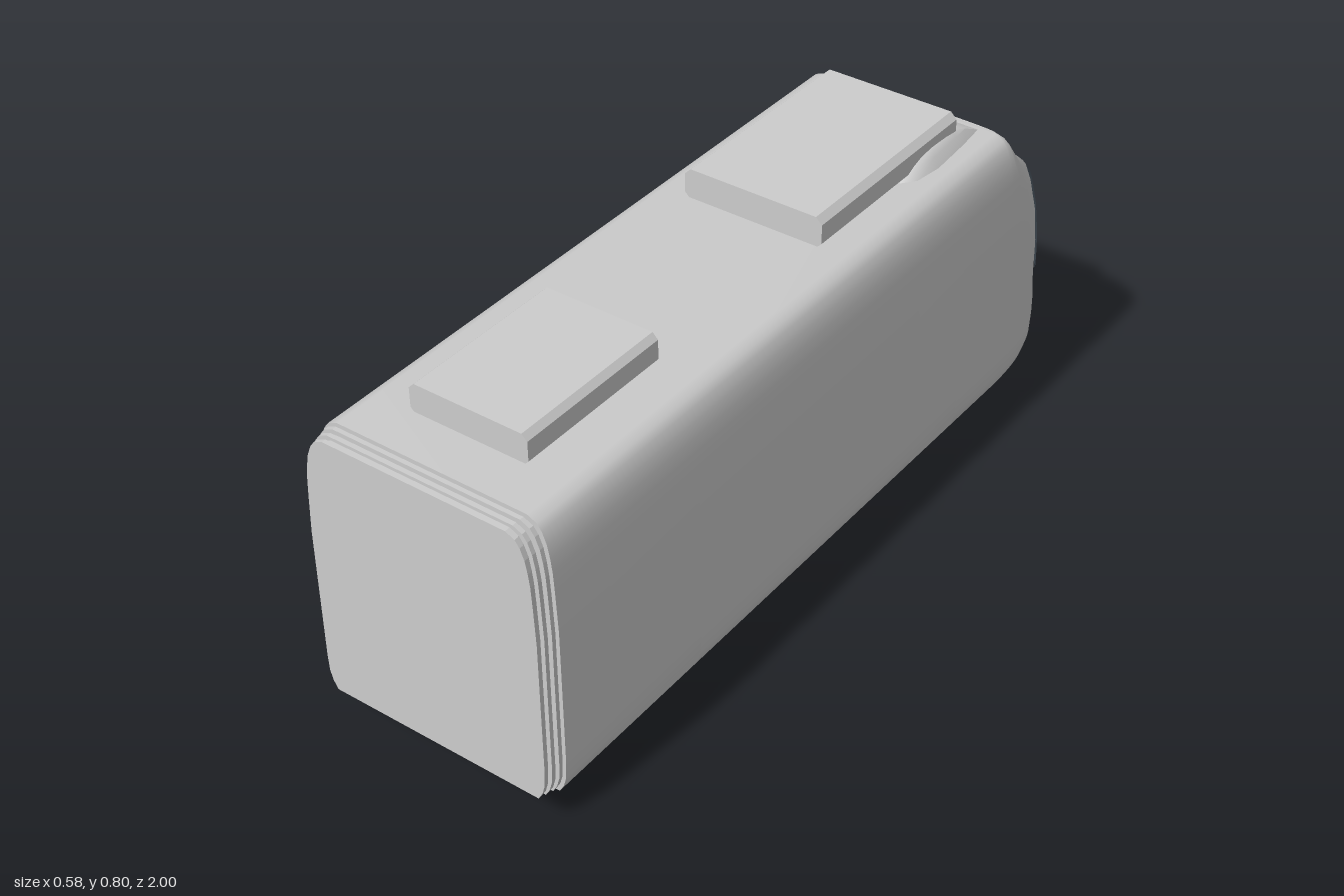
import * as THREE from 'three';
import { toCreasedNormals } from 'three/addons/utils/BufferGeometryUtils.js';

const paint = new THREE.MeshStandardMaterial({ color: 0xcccccc });
paint.name = 'bodyGrey';
const glass = new THREE.MeshStandardMaterial({ color: 0x414b54, side: THREE.DoubleSide });
glass.name = 'darkGlass';

// Body levels: height, half width, z of the nose tip
const LEVELS = [
  [0.065, 0.268, -0.965], [0.085, 0.279, -0.988], [0.11, 0.286, -0.997], [0.15, 0.288, -1],
  [0.19, 0.288, -1], [0.225, 0.288, -0.992], [0.27, 0.288, -0.975], [0.37, 0.288, -0.928],
  [0.48, 0.288, -0.872], [0.57, 0.284, -0.82], [0.62, 0.281, -0.783], [0.65, 0.277, -0.735],
  [0.68, 0.271, -0.705], [0.705, 0.261, -0.688], [0.72, 0.25, -0.678], [0.73, 0.228, -0.67],
];
const REAR = 0.95, NOSE = -0.655;

function levelAt(y) {
  let i = 0;
  while (i < LEVELS.length - 2 && y > LEVELS[i + 1][0]) i++;
  const a = LEVELS[i], b = LEVELS[i + 1], k = (y - a[0]) / (b[0] - a[0]);
  return { w: a[1] + (b[1] - a[1]) * k, depth: NOSE - (a[2] + (b[2] - a[2]) * k) };
}
// Plan of the nose gets squarer with height
const power = y => 2.3 + 1.7 * Math.max(0, (y - 0.25) / 0.35);

function noseZ(x, y) {
  const { w, depth } = levelAt(y), n = power(y);
  return NOSE - depth * Math.pow(Math.max(0, 1 - Math.pow(Math.abs(x) / w, n)), 1 / n);
}

// Stack of mirrored plan rings (counter-clockwise from above), capped top and bottom
function loft(rings, crease) {
  const n = rings[0].length, pos = [], idx = [];
  rings.forEach(r => r.forEach(p => pos.push(...p)));
  const quad = (a, b, c, d) => idx.push(a, b, c, a, c, d);
  for (let j = 0; j < rings.length - 1; j++)
    for (let i = 0; i < n; i++) {
      const k = (i + 1) % n;
      quad(j * n + i, j * n + k, (j + 1) * n + k, (j + 1) * n + i);
    }
  const top = (rings.length - 1) * n;
  for (let i = 0; i < n / 2 - 1; i++) {
    quad(top + i, top + i + 1, top + n - 2 - i, top + n - 1 - i);
    quad(n - 1 - i, n - 2 - i, i + 1, i);
  }
  const g = new THREE.BufferGeometry();
  g.setAttribute('position', new THREE.Float32BufferAttribute(pos, 3));
  g.setIndex(idx);
  return toCreasedNormals(g, crease);
}

// Open grid surface from a function of (u, v) in 0..1
function patch(nu, nv, f) {
  const g = new THREE.PlaneGeometry(1, 1, nu, nv), p = g.attributes.position;
  for (let i = 0; i < p.count; i++) p.setXYZ(i, ...f(p.getX(i) + 0.5, p.getY(i) + 0.5));
  g.computeVertexNormals();
  return g;
}

export function createModel() {
  const group = new THREE.Group();
  const add = (name, geo, mat = paint, x = 0, y = 0, z = 0) => {
    const m = new THREE.Mesh(geo, mat);
    m.name = name;
    m.position.set(x, y, z);
    group.add(m);
    return m;
  };

  // Car body with rounded nose
  const SEG = 49;
  add('body', loft(LEVELS.map(([y, w, zf]) => {
    const ring = [[w, y, REAR]], n = power(y);
    for (let i = 0; i <= SEG; i++) {
      const t = Math.PI * i / SEG, c = Math.cos(t);
      ring.push([
        w * Math.sign(c) * Math.pow(Math.abs(c), 2 / n), y,
        NOSE - (NOSE - zf) * Math.pow(Math.abs(Math.sin(t)), 2 / n),
      ]);
    }
    ring.push([-w, y, REAR]);
    return ring;
  }), 0.6));

  // Wraparound windscreen
  add('windscreen', patch(40, 24, (u, v) => {
    const s = 1 - 2 * u;
    const y = 0.268 + v * (0.35 - 0.03 * s * s);
    const x = s * (0.24 + 0.015 * v);
    return [x * 1.012, y + 0.001, noseZ(x, y) - 0.005];
  }), glass);
  add('wiperBar', new THREE.BoxGeometry(0.28, 0.012, 0.02), paint, 0, 0.622, -0.79);

  // Headlight clusters
  for (const side of [1, -1])
    for (let i = 0; i < 3; i++) {
      const x = side * (0.09 + i * 0.02), y = 0.205 + (i % 2) * 0.006;
      const lamp = add('headlight', new THREE.CylinderGeometry(0.009, 0.009, 0.012, 12), paint,
        x, y, noseZ(x, y) - 0.001);
      lamp.rotation.x = Math.PI / 2;
    }

  // Door leaves, just proud of the sides
  for (const side of [1, -1])
    for (const [z0, z1] of [[0.52, 0.8], [-0.45, -0.27]])
      add('door', patch(1, 12, (u, v) => {
        const y = 0.085 + 0.435 * v;
        return [side * (levelAt(y).w + 0.0015), y, side > 0 ? z1 + (z0 - z1) * u : z0 + (z1 - z0) * u];
      }));

  // Rear gangway bellows
  const slice = (sx, sy) => {
    const half = LEVELS.map(([y, w]) => new THREE.Vector2(w * sx, 0.4 + (y - 0.3975) * sy));
    const other = half.map(p => new THREE.Vector2(-p.x, p.y)).reverse();
    return new THREE.Shape([...half, ...other]);
  };
  const plate = (sx, sy, depth) => new THREE.ExtrudeGeometry(slice(sx, sy), { depth, bevelEnabled: false });
  add('bellowsCore', plate(0.94, 0.95, 0.055), paint, 0, 0, 0.944);
  for (let i = 0; i < 3; i++)
    add('bellowsRib', plate(0.985 - i * 0.012, 0.98 - i * 0.008, 0.01), paint, 0, 0, 0.955 + i * 0.0175);

  // Roof equipment boxes with chamfered edges
  const roofBox = (name, hw, z0, z1, y0, y1, c) => {
    const half = [[hw - c, y0], [hw, y0 + c], [hw, y1 - c], [hw - c, y1]];
    const pts = [...half, ...half.map(([x, y]) => [-x, y]).reverse()];
    const shape = new THREE.Shape(pts.map(p => new THREE.Vector2(...p)));
    add(name, new THREE.ExtrudeGeometry(shape, { depth: z1 - z0, bevelEnabled: false }), paint, 0, 0, z0);
  };
  roofBox('frontRoofUnit', 0.173, -0.58, -0.06, 0.725, 0.8, 0.015);
  roofBox('rearRoofUnit', 0.142, 0.45, 0.84, 0.725, 0.796, 0.013);

  // Fairing sloping from the front roof unit to the nose
  const plan = (y, half) => [
    ...half.map(([x, z]) => [x, y, z]),
    ...half.map(([x, z]) => [-x, y, z]).reverse(),
  ];
  add('roofFairing', loft([
    plan(0.722, [[0.17, -0.35], [0.198, -0.385], [0.208, -0.46], [0.2, -0.58], [0.19, -0.668]]),
    plan(0.75, [[0.165, -0.4], [0.182, -0.42], [0.188, -0.47], [0.182, -0.57], [0.178, -0.61]]),
    plan(0.764, [[0.155, -0.43], [0.168, -0.45], [0.172, -0.48], [0.17, -0.53], [0.165, -0.56]]),
  ], 0.9));

  // Bogie wheels with flanges, joined by axles
  const wheelGeo = new THREE.LatheGeometry([
    [0, -0.014], [0.05, -0.014], [0.057, -0.01], [0.06, 0.006], [0.066, 0.009], [0.066, 0.014], [0, 0.014],
  ].map(p => new THREE.Vector2(...p)), 32);
  const wheel = toCreasedNormals(wheelGeo, 0.6);
  for (const z of [0.36, -0.03]) {
    for (const side of [1, -1])
      add('wheel', wheel, paint, side * 0.165, 0.066, z).rotation.z = side * Math.PI / 2;
    add('axle', new THREE.CylinderGeometry(0.009, 0.009, 0.32, 16), paint, 0, 0.066, z).rotation.z = Math.PI / 2;
  }
  return group;
}
